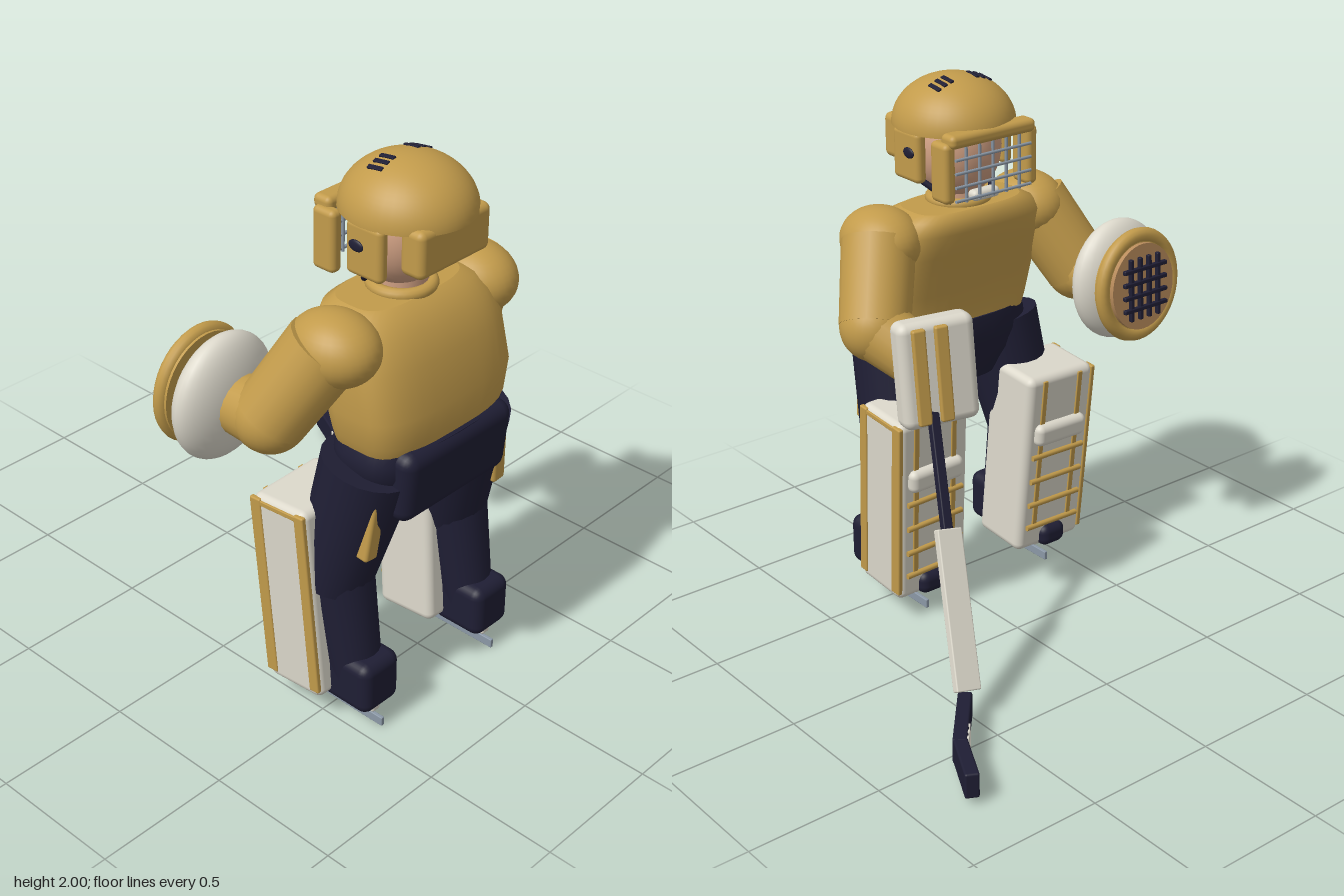
import * as THREE from 'three';
import { RoundedBoxGeometry } from 'three/addons/geometries/RoundedBoxGeometry.js';

const V = (x, y, z) => new THREE.Vector3(x, y, z);
const paint = (name, hex, side = THREE.FrontSide) => {
  const m = new THREE.MeshStandardMaterial({ color: hex, side });
  m.name = name;
  return m;
};

export function createModel() {
  const gold = paint('gold', 0xc29b4b), navy = paint('navy', 0x1f1e34), white = paint('off white', 0xdcd8cb);
  const skin = paint('skin', 0xd0a083), steel = paint('steel', 0x8b98a6), tan = paint('tan leather', 0xb98c5c);

  const add = (parent, name, geo, mat, pos = [0, 0, 0], rot = [0, 0, 0]) => {
    const m = new THREE.Mesh(geo, mat);
    m.name = name;
    m.position.set(...pos);
    m.rotation.set(...rot);
    parent.add(m);
    return m;
  };
  const group = (parent, name, pos = [0, 0, 0], rot = [0, 0, 0]) => {
    const g = new THREE.Group();
    g.name = name;
    g.position.set(...pos);
    g.rotation.set(...rot);
    parent.add(g);
    return g;
  };
  const box = (p, name, mat, size, pos, rot, r = 0.02) =>
    add(p, name, new RoundedBoxGeometry(...size, 3, Math.min(r, Math.min(...size) * 0.45)), mat, pos, rot);
  const ball = (p, name, mat, radii, pos, rot) =>
    add(p, name, new THREE.SphereGeometry(1, 32, 20).scale(...radii), mat, pos, rot);

  // Tapered round bar from a to b
  const limb = (p, name, mat, a, b, ra, rb = ra, sides = 20) => {
    const A = V(...a), B = V(...b), d = B.clone().sub(A);
    const m = add(p, name, new THREE.CylinderGeometry(rb, ra, d.length(), sides), mat);
    m.position.copy(A).add(B).multiplyScalar(0.5);
    m.quaternion.setFromUnitVectors(V(0, 1, 0), d.normalize());
    return m;
  };
  // Flat bar from a to b, its width following the hint direction
  const plank = (p, name, mat, a, b, w, t, hint) => {
    const A = V(...a), B = V(...b), Y = A.clone().sub(B), len = Y.length();
    Y.normalize();
    const Z = V(...hint).cross(Y).normalize(), X = Y.clone().cross(Z);
    const m = add(p, name, new RoundedBoxGeometry(w, len, t, 2, t * 0.15), mat);
    m.position.copy(A).add(B).multiplyScalar(0.5);
    m.quaternion.setFromRotationMatrix(new THREE.Matrix4().makeBasis(X, Y, Z));
    return m;
  };
  // Rounded-square cross-sections [y, centreZ, halfWidth, halfDepth], bottom to top
  const loft = (p, name, mat, rows, power = 0.6, n = 40) => {
    const pos = [], idx = [];
    const ring = ([y, cz, rx, rz]) => {
      for (let i = 0; i < n; i++) {
        const t = i / n * Math.PI * 2, c = Math.cos(t), s = Math.sin(t);
        pos.push(Math.sign(c) * Math.abs(c) ** power * rx, y, cz + Math.sign(s) * Math.abs(s) ** power * rz);
      }
    };
    rows.forEach(ring);
    for (let j = 0; j < rows.length - 1; j++) for (let i = 0; i < n; i++) {
      const a = j * n + i, b = j * n + (i + 1) % n;
      idx.push(a, a + n, b, b, a + n, b + n);
    }
    [rows[0], rows[rows.length - 1]].forEach((row, top) => {
      const start = pos.length / 3;
      ring(row);
      pos.push(0, row[0], row[1]);
      for (let i = 0; i < n; i++) {
        const a = start + i, b = start + (i + 1) % n;
        idx.push(start + n, top ? b : a, top ? a : b);
      }
    });
    const g = new THREE.BufferGeometry();
    g.setAttribute('position', new THREE.Float32BufferAttribute(pos, 3));
    g.setIndex(idx);
    g.computeVertexNormals();
    return add(p, name, g, mat);
  };

  const model = group(new THREE.Group(), 'goalkeeper');
  model.removeFromParent();
  const body = group(model, 'player', [-0.125, 0, 0]);

  // Torso, neck and hips
  loft(body, 'jersey', gold, [[1.07, 0.575, 0.305, 0.165], [1.12, 0.58, 0.325, 0.172], [1.22, 0.575, 0.345, 0.18],
    [1.38, 0.535, 0.34, 0.185], [1.47, 0.5, 0.32, 0.175], [1.52, 0.48, 0.28, 0.15], [1.54, 0.475, 0.23, 0.12]]);
  add(body, 'collar', new THREE.TorusGeometry(0.1, 0.022, 12, 32), gold, [0, 1.545, 0.49], [Math.PI / 2, 0, 0]);
  limb(body, 'neck', skin, [0, 1.5, 0.49], [0, 1.64, 0.5], 0.085);
  loft(body, 'hips', navy, [[0.83, 0.56, 0.18, 0.12], [0.93, 0.575, 0.29, 0.165], [1.0, 0.58, 0.325, 0.18],
    [1.05, 0.58, 0.32, 0.182], [1.09, 0.58, 0.305, 0.178]], 0.7);
  box(body, 'rearPad', navy, [0.53, 0.27, 0.11], [0, 0.965, 0.712], [0.1, 0, 0], 0.05);

  // Head and helmet
  ball(body, 'head', skin, [0.165, 0.185, 0.15], [0, 1.735, 0.49]);
  const dome = new THREE.SphereGeometry(1, 40, 16, 0, Math.PI * 2, 0, Math.PI / 2).scale(0.222, 0.18, 0.23);
  add(body, 'helmetDome', dome, gold, [0, 1.82, 0.51]);
  add(body, 'helmetRim', new THREE.CircleGeometry(1, 40).scale(0.222, 0.23, 1), gold, [0, 1.82, 0.51], [Math.PI / 2, 0, 0]);
  box(body, 'helmetBack', gold, [0.335, 0.165, 0.095], [0, 1.76, 0.667], [0, 0, 0], 0.025);
  box(body, 'brow', gold, [0.38, 0.05, 0.075], [0, 1.825, 0.31]);
  box(body, 'chinCup', white, [0.12, 0.04, 0.05], [0, 1.595, 0.34]);
  for (const s of [-1, 1]) {
    box(body, 'earGuard', gold, [0.045, 0.19, 0.15], [s * 0.195, 1.735, 0.515]);
    ball(body, 'earHole', navy, [0.008, 0.02, 0.03], [s * 0.219, 1.75, 0.49]);
    box(body, 'cheekGuard', gold, [0.05, 0.22, 0.095], [s * 0.185, 1.71, 0.335]);
    limb(body, 'chinStrap', navy, [s * 0.175, 1.65, 0.51], [s * 0.09, 1.56, 0.41], 0.012, 0.012, 8);
    for (const k of [-1, 0, 1]) {
      const x = s * 0.085 + k * 0.028, h = Math.sqrt(1 - (x / 0.222) ** 2 - 0.03);
      box(body, 'helmetVent', navy, [0.016, 0.009, 0.06], [x, 1.82 + 0.18 * h, 0.47], [-0.13, 0, -Math.atan(3.65 * x / h)], 0.002);
    }
  }
  // Face cage
  for (const y of [1.61, 1.66, 1.71, 1.76]) limb(body, 'cageBar', steel, [-0.17, y, 0.283], [0.17, y, 0.283], 0.006, 0.006, 8);
  for (let i = -2; i <= 2; i++) limb(body, 'cageBar', steel, [i * 0.06, 1.6, 0.287], [i * 0.06, 1.81, 0.287], 0.006, 0.006, 8);

  for (const s of [-1, 1]) {
    // Arms
    const elbow = [s * 0.475, 1.195, 0.365], wrist = s < 0 ? [-0.49, 1.19, 0.2] : [0.39, 1.08, 0.18];
    ball(body, 'shoulder', gold, [0.14, 0.125, 0.165], [s * 0.335, 1.445, 0.51]);
    limb(body, 'upperArm', gold, [s * 0.355, 1.45, 0.495], elbow, 0.135, 0.128);
    ball(body, 'elbow', gold, [0.126, 0.126, 0.126], elbow);
    limb(body, 'forearm', gold, elbow, wrist, 0.122, 0.1);

    // Legs
    const leg = group(body, s > 0 ? 'leftLeg' : 'rightLeg');
    limb(leg, 'thigh', navy, [s * 0.235, 1.0, 0.575], [s * 0.3, 0.53, 0.475], 0.165, 0.135);
    limb(leg, 'shin', navy, [s * 0.295, 0.58, 0.5], [s * 0.295, 0.18, 0.585], 0.12, 0.09);
    box(leg, 'hipStripe', gold, [0.06, 0.28, 0.055], [s * 0.315, 0.84, 0.66], [0.08, 0, s * 0.1], 0.012);
    box(leg, 'hipStripe', gold, [0.05, 0.14, 0.05], [s * 0.35, 0.92, 0.5], [0, 0, s * 0.12], 0.012);
    box(leg, 'boot', navy, [0.18, 0.2, 0.22], [s * 0.295, 0.18, 0.6], [0, 0, 0], 0.04);
    box(leg, 'toe', navy, [0.12, 0.09, 0.34], [s * 0.295, 0.135, 0.445], [0, 0, 0], 0.035);
    box(leg, 'bladeHolder', white, [0.04, 0.045, 0.3], [s * 0.295, 0.07, 0.53], [0, 0, 0], 0.01);
    box(leg, 'skateBlade', steel, [0.014, 0.035, 0.38], [s * 0.295, 0.0175, 0.52], [0, 0, 0], 0.003);

    // Leg pad, its face towards -z
    const pad = group(leg, 'legPad', [s * 0.295, 0.475, 0.4], [-0.08, 0, -s * 0.025]);
    box(pad, 'padBody', white, [0.315, 0.75, 0.245], [0, 0, 0], [0, 0, 0], 0.03);
    for (const [z, w] of [[0.1, 0.042], [-0.1, 0.048]])
      box(pad, 'padEdgeStripe', gold, [0.02, 0.71, w], [s * 0.153, 0.01, z], [0, 0, 0], 0.006);
    box(pad, 'padTopStripe', gold, [0.01, 0.018, 0.22], [s * 0.156, 0.35, 0], [0, 0, 0], 0.003);
    box(pad, 'kneeRoll', white, [0.24, 0.09, 0.06], [0, 0.135, -0.125], [0, 0, 0], 0.028);
    for (const k of [-1, 1]) box(pad, 'padFaceStripe', gold, [0.022, 0.64, 0.009], [k * 0.085, 0.04, -0.124], [0, 0, 0], 0.003);
    for (const y of [-0.27, -0.17, -0.065, 0.04])
      limb(pad, 'padStrap', gold, [-0.125, y, -0.128], [0.125, y, -0.128], 0.011, 0.011, 8);
  }

  // Catching glove
  const glove = group(model, 'catchingGlove', [-0.625, 1.2, 0.15], [0.05, 0, 0]);
  ball(glove, 'gloveBack', white, [0.21, 0.23, 0.09], [0, 0, 0.02]);
  const disc = (name, mat, r, depth, z) =>
    add(glove, name, new THREE.CylinderGeometry(r, r, depth, 40).rotateX(Math.PI / 2).scale(1, 1.1, 1), mat, [0, 0, z]);
  disc('gloveRim', gold, 0.18, 0.05, -0.08);
  add(glove, 'gloveRing', new THREE.TorusGeometry(0.172, 0.026, 12, 40).scale(1, 1.1, 1), gold, [0, 0, -0.088]);
  disc('glovePalm', tan, 0.15, 0.02, -0.112);
  for (let i = 0; i < 4; i++) {
    const o = -0.066 + i * 0.044;
    box(glove, 'webBar', navy, [0.016, 0.24, 0.018], [o, 0, -0.13], [0, 0, 0], 0.004);
    box(glove, 'webBar', navy, [0.21, 0.016, 0.018], [0, o * 1.15, -0.133], [0, 0, 0], 0.004);
  }

  // Blocker
  const blocker = group(model, 'blocker', [0.265, 1.085, 0.13], [0.1, -0.24, 0]);
  box(blocker, 'blockerBoard', white, [0.29, 0.39, 0.105], [0, 0, 0], [0, 0, 0], 0.035);
  for (const x of [-0.01, 0.075])
    box(blocker, 'blockerStripe', gold, [0.05, 0.35, 0.04], [x, 0, -0.05], [0, 0, 0], 0.008);

  // Stick
  const stick = group(model, 'stick'), X = [1, 0, 0.1], UP = [0, 1, 0];
  plank(stick, 'shaft', navy, [0.27, 1.1, 0.17], [0.405, 0.58, -0.11], 0.036, 0.032, X);
  plank(stick, 'paddle', white, [0.4, 0.6, -0.105], [0.52, 0.115, -0.36], 0.095, 0.034, X);
  plank(stick, 'bladeHeel', navy, [0.53, 0.072, -0.36], [0.725, 0.072, -0.58], 0.095, 0.05, UP);
  plank(stick, 'bladeTip', navy, [0.713, 0.072, -0.565], [0.812, 0.072, -0.757], 0.094, 0.05, UP);
  for (const t of [0.68, 0.8, 0.92]) {
    const at = k => [0.53 + 0.195 * k - 0.0195, 0.072, -0.36 - 0.22 * k - 0.0173];
    plank(stick, 'bladeStripe', white, at(t - 0.03), at(t + 0.03), 0.09, 0.008, UP);
  }
  return model;
}
